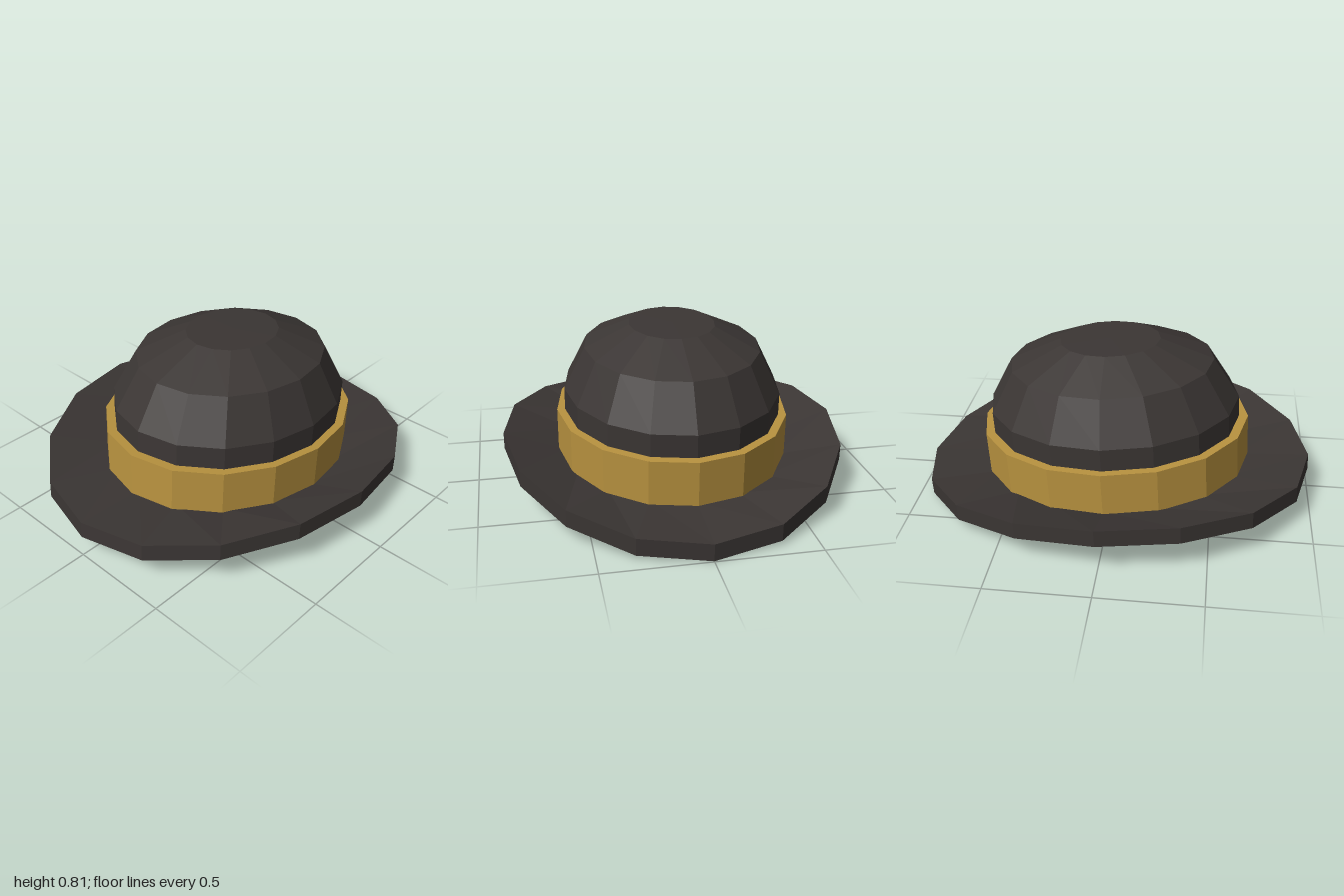
import * as THREE from 'three';

const SIDES = 16;
const OVAL = 1.17; // front-to-back stretch

// Faceted oval ring or dome from a [radius, height] profile
function ovalLathe(name, color, profile) {
  const points = profile.map(([r, y]) => new THREE.Vector2(r, y));
  const geometry = new THREE.LatheGeometry(points, SIDES);
  geometry.scale(1, 1, OVAL);
  const material = new THREE.MeshStandardMaterial({
    color, flatShading: true, side: THREE.DoubleSide,
  });
  const mesh = new THREE.Mesh(geometry, material);
  mesh.name = name;
  return mesh;
}

export function createModel() {
  const felt = 0x3b3634;
  const gold = 0xb8923f;
  const brimRadius = 0.86;

  // Thick brim with a hole; its outer edge curls up at the sides
  const brim = ovalLathe('brim', felt, [
    [0.55, 0], [brimRadius, 0], [brimRadius, 0.085], [0.55, 0.085], [0.55, 0],
  ]);
  brim.geometry.scale(1, 1, 0.997 / (brimRadius * OVAL));
  const p = brim.geometry.attributes.position;
  for (let i = 0; i < p.count; i++) {
    const x = p.getX(i), z = p.getZ(i);
    if (Math.hypot(x / brimRadius, z / 0.997) > 0.9) {
      p.setY(i, p.getY(i) + 0.117 * (x / brimRadius) ** 2);
    }
  }
  brim.geometry.computeVertexNormals();

  // Hollow bowl of the hat
  const crown = ovalLathe('crown', felt, [
    [0.545, 0.085], [0.545, 0.425], [0.44, 0.635], [0.215, 0.745], [0, 0.748],
  ]);

  // Ribbon around the crown, its edges reaching just through the wall
  const band = ovalLathe('band', gold, [
    [0.535, 0.09], [0.585, 0.09], [0.585, 0.312], [0.535, 0.312],
  ]);

  // Whole hat leans slightly backwards
  const hat = new THREE.Group();
  hat.name = 'hat';
  hat.add(brim, crown, band);
  hat.rotation.x = -0.054;
  hat.position.y = 0.054;

  const model = new THREE.Group();
  model.name = 'bowlerHat';
  model.add(hat);
  return model;
}
